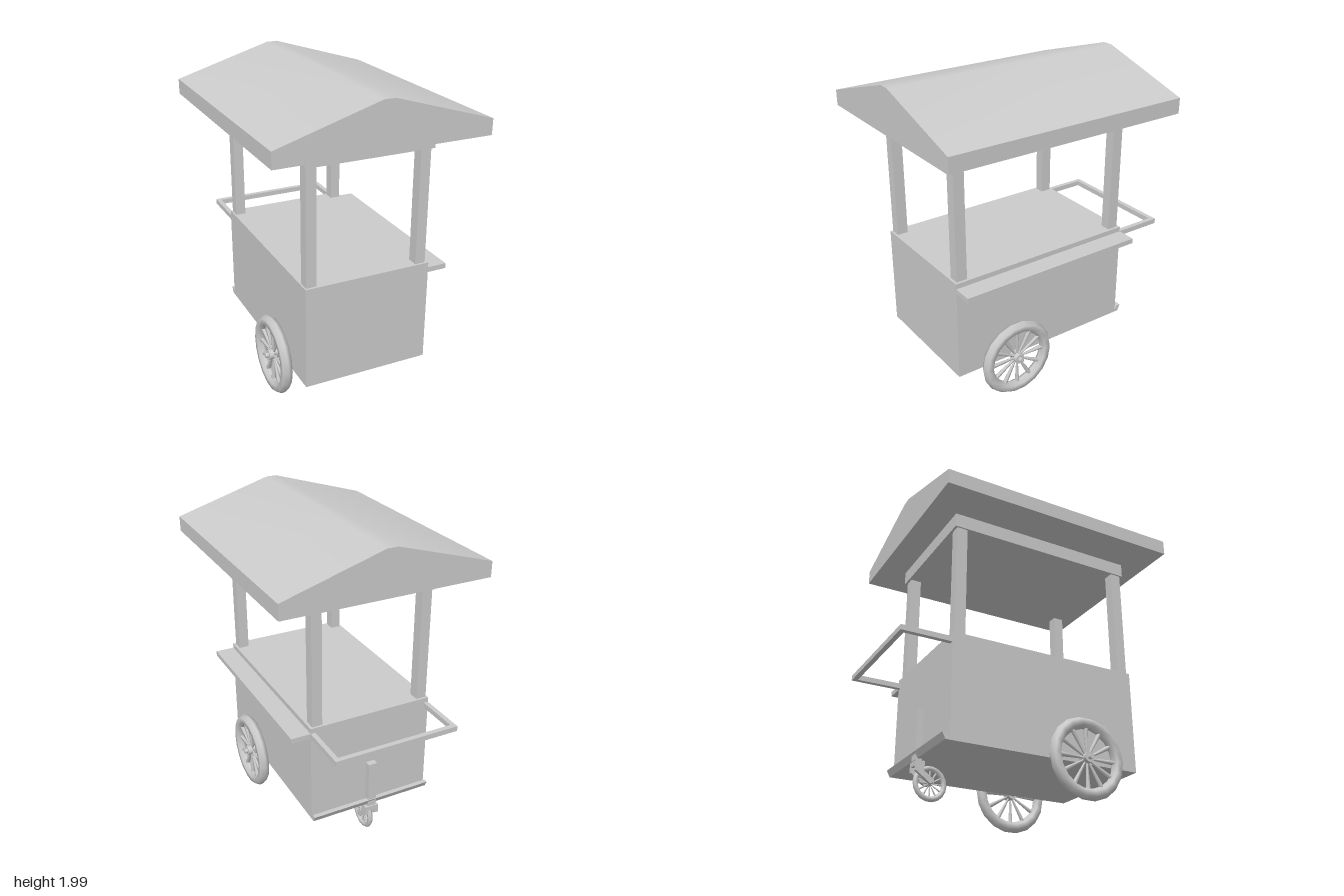
import * as THREE from 'three';
import { toCreasedNormals } from 'three/addons/utils/BufferGeometryUtils.js';

const grey = new THREE.MeshStandardMaterial({ color: 0xcccccc });

function add(parent, name, geometry) {
  const mesh = new THREE.Mesh(geometry, grey);
  mesh.name = name;
  parent.add(mesh);
  return mesh;
}

// Box given by its limits on each axis
function block(parent, name, [x0, x1], [y0, y1], [z0, z1]) {
  const mesh = add(parent, name, new THREE.BoxGeometry(x1 - x0, y1 - y0, z1 - z0));
  mesh.position.set((x0 + x1) / 2, (y0 + y1) / 2, (z0 + z1) / 2);
  return mesh;
}

function extrude(points, depth) {
  const shape = new THREE.Shape(points.map(([a, b]) => new THREE.Vector2(a, b)));
  return new THREE.ExtrudeGeometry(shape, { depth, bevelEnabled: false });
}

// Side profile of [-z, y] points, extruded from x0 to x1
function sideProfile(parent, name, points, x0, x1) {
  add(parent, name, extrude(points, x1 - x0).rotateY(Math.PI / 2)).position.x = x0;
}

// Spoked wheel with its axle along x
function wheel(name, radius, tube, hubRadius, hubLength, spokes) {
  const group = new THREE.Group();
  group.name = name;
  const ring = radius - tube;
  add(group, 'tire', new THREE.TorusGeometry(ring, tube, 6, 18).rotateY(Math.PI / 2));
  add(group, 'hub', new THREE.CylinderGeometry(hubRadius, hubRadius, hubLength * 0.6, 12).rotateZ(Math.PI / 2));
  add(group, 'axle', new THREE.CylinderGeometry(hubRadius * 0.5, hubRadius * 0.5, hubLength, 8).rotateZ(Math.PI / 2));
  const inner = hubRadius * 0.7, outer = ring - tube * 0.7;
  for (let i = 0; i < spokes; i++) {
    const spoke = new THREE.CylinderGeometry(radius * 0.06, radius * 0.024, outer - inner, 6);
    spoke.translate(0, (outer + inner) / 2, 0).rotateX((i / spokes) * Math.PI * 2);
    add(group, 'spoke', spoke);
  }
  return group;
}

export function createModel() {
  const cart = new THREE.Group();
  cart.name = 'vendorCart';

  // Body, side shelf and slanted lip under the back
  block(cart, 'body', [-0.405, 0.405], [0.245, 0.9], [-0.55, 0.7]);
  block(cart, 'sideShelf', [0.4, 0.53], [0.835, 0.868], [-0.55, 0.7]);
  sideProfile(cart, 'backLip', [[0.54, 0.245], [0.575, 0.245], [0.595, 0.285], [0.565, 0.285]], -0.405, 0.405);

  // Push handle
  for (const s of [-1, 1]) {
    const xs = s < 0 ? [-0.405, -0.375] : [0.375, 0.405];
    block(cart, 'handleArm', xs, [0.835, 0.868], [-0.868, -0.545]);
  }
  block(cart, 'handleGrip', [-0.375, 0.375], [0.835, 0.868], [-0.868, -0.837]);

  // Posts and canopy frame
  for (const x of [-0.362, 0.355]) {
    for (const z of [-0.5, 0.65]) {
      block(cart, 'post', [x - 0.033, x + 0.033], [0.89, 1.635], [z - 0.035, z + 0.035]);
    }
  }
  block(cart, 'canopyFrame', [-0.405, 0.405], [1.625, 1.72], [-0.55, 0.7]);

  // Gabled roof with a softened ridge
  const roof = extrude([[-0.66, 1.715], [0.66, 1.715], [0.66, 1.812], [0.035, 2], [-0.035, 2], [-0.66, 1.812]], 1.593);
  add(cart, 'roof', toCreasedNormals(roof, 0.5)).position.z = -0.725;

  // Main wheels
  for (const s of [-1, 1]) {
    const w = wheel('mainWheel', 0.253, 0.037, 0.032, 0.11, 12);
    w.position.set(s * 0.455, 0.26, 0.307);
    cart.add(w);
  }

  // Rear caster: bracket, fork and small wheel
  const caster = new THREE.Group();
  caster.name = 'caster';
  cart.add(caster);
  block(caster, 'bracket', [-0.028, 0.028], [0.235, 0.55], [-0.588, -0.548]);
  block(caster, 'forkCrown', [-0.045, 0.045], [0.2, 0.23], [-0.59, -0.535]);
  const arm = [[0.475, 0.105], [0.5, 0.105], [0.59, 0.17], [0.59, 0.23], [0.54, 0.23], [0.54, 0.175], [0.475, 0.13]];
  sideProfile(caster, 'forkArm', arm, 0.025, 0.045);
  sideProfile(caster, 'forkArm', arm, -0.045, -0.025);
  const small = wheel('casterWheel', 0.107, 0.017, 0.014, 0.1, 12);
  small.position.set(0, 0.113, -0.481);
  caster.add(small);

  return cart;
}
